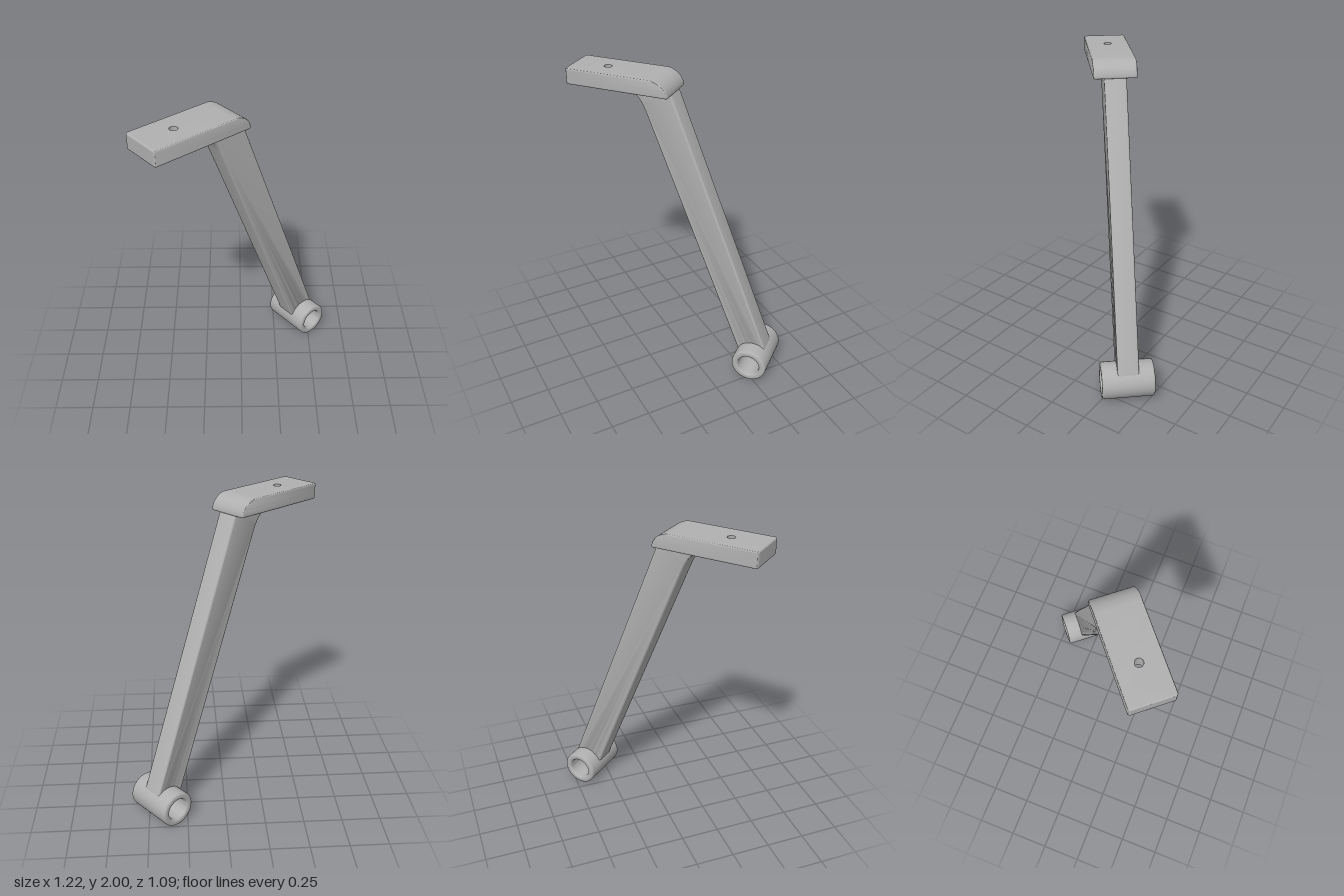
import * as THREE from 'three';
import { toCreasedNormals } from 'three/addons/utils/BufferGeometryUtils.js';

const CREASE = 0.6;

// Rectangle in plan with rounded corners
function roundedRect(x0, x1, y0, y1, r) {
  const s = new THREE.Shape();
  s.absarc(x1 - r, y1 - r, r, 0, Math.PI / 2);
  s.absarc(x0 + r, y1 - r, r, Math.PI / 2, Math.PI);
  s.absarc(x0 + r, y0 + r, r, Math.PI, Math.PI * 1.5);
  s.absarc(x1 - r, y0 + r, r, Math.PI * 1.5, Math.PI * 2);
  s.closePath();
  return s;
}

// Extrusion whose bevel stays inside the given outline and thickness
function bevelled(shape, thickness, bevel, options) {
  return new THREE.ExtrudeGeometry(shape, {
    depth: thickness - 2 * bevel, bevelThickness: bevel, bevelSize: bevel,
    bevelOffset: -bevel, bevelSegments: 4, curveSegments: 8, ...options,
  }).translate(0, 0, bevel);
}

// Flat pad with a screw hole and a rounded-over end
function padGeometry() {
  const holeX = -0.476, holeR = 0.025, arcX = -0.162, bottom = 1.9, height = 0.1;
  const shape = roundedRect(-0.697, -0.036, -0.133, 0.133, 0.014);
  const hole = new THREE.Path();
  hole.absarc(holeX, 0, holeR, 0, Math.PI * 2, true);
  shape.holes.push(hole);
  const geo = bevelled(shape, height, 0.008, { steps: 24, bevelSegments: 6 });
  geo.rotateX(-Math.PI / 2).translate(0, bottom, 0);
  const p = geo.attributes.position;
  for (let i = 0; i < p.count; i++) {
    const x = p.getX(i), z = p.getZ(i);
    const t = Math.min(1, Math.max(0, (p.getY(i) - bottom) / height));
    const d = Math.hypot(x - holeX, z);
    if (d < 0.05) { // keep the hole straight
      p.setX(i, holeX + (x - holeX) * holeR / d);
      p.setZ(i, z * holeR / d);
    } else if (x > arcX) { // quarter-round the end
      p.setX(i, arcX + (x - arcX) * Math.sqrt(1 - t * t));
    }
  }
  return toCreasedNormals(geo, CREASE);
}

// Slanted arm, flared under the pad and hollowed to sit on the tube
function armGeometry(cx, cy) {
  const s = new THREE.Shape();
  s.moveTo(-0.065, 1.93);
  s.lineTo(-0.04, 1.9);
  s.lineTo(0.633, 0.18);
  s.absarc(cx, cy, 0.1, 0.64, 2.79);
  s.lineTo(0.44, 0.15);
  s.lineTo(-0.197, 1.75);
  s.bezierCurveTo(-0.235, 1.845, -0.26, 1.885, -0.34, 1.897);
  s.lineTo(-0.34, 1.93);
  s.closePath();
  return toCreasedNormals(bevelled(s, 0.136, 0.012).translate(0, 0, -0.068), CREASE);
}

// Open tube with rounded rims
function tubeGeometry() {
  const R = 0.117, r = 0.072, h = 0.168, f = 0.014;
  const corners = [[R - f, -h + f, -90], [R - f, h - f, 0], [r + f, h - f, 90], [r + f, -h + f, 180]];
  const pts = [];
  for (const [x, y, start] of corners) {
    for (let k = 0; k <= 3; k++) {
      const a = THREE.MathUtils.degToRad(start + k * 30);
      pts.push(new THREE.Vector2(x + f * Math.cos(a), y + f * Math.sin(a)));
    }
  }
  pts.push(pts[0].clone());
  const geo = new THREE.LatheGeometry(pts, 48).rotateX(Math.PI / 2);
  return toCreasedNormals(geo, CREASE);
}

export function createModel() {
  const grey = new THREE.MeshStandardMaterial({ color: 0xb0b0b0 });
  grey.name = 'grey';
  const model = new THREE.Group();
  model.name = 'bracket';

  const body = new THREE.Group();
  body.name = 'bracketBody';
  body.rotation.y = THREE.MathUtils.degToRad(40);
  model.add(body);

  const add = (name, geometry) => {
    const mesh = new THREE.Mesh(geometry, grey);
    mesh.name = name;
    body.add(mesh);
    return mesh;
  };

  const tubeX = 0.545, tubeY = 0.117;
  add('mountingPad', padGeometry());
  add('arm', armGeometry(tubeX, tubeY));
  add('pivotTube', tubeGeometry()).position.set(tubeX, tubeY, 0);
  return model;
}
